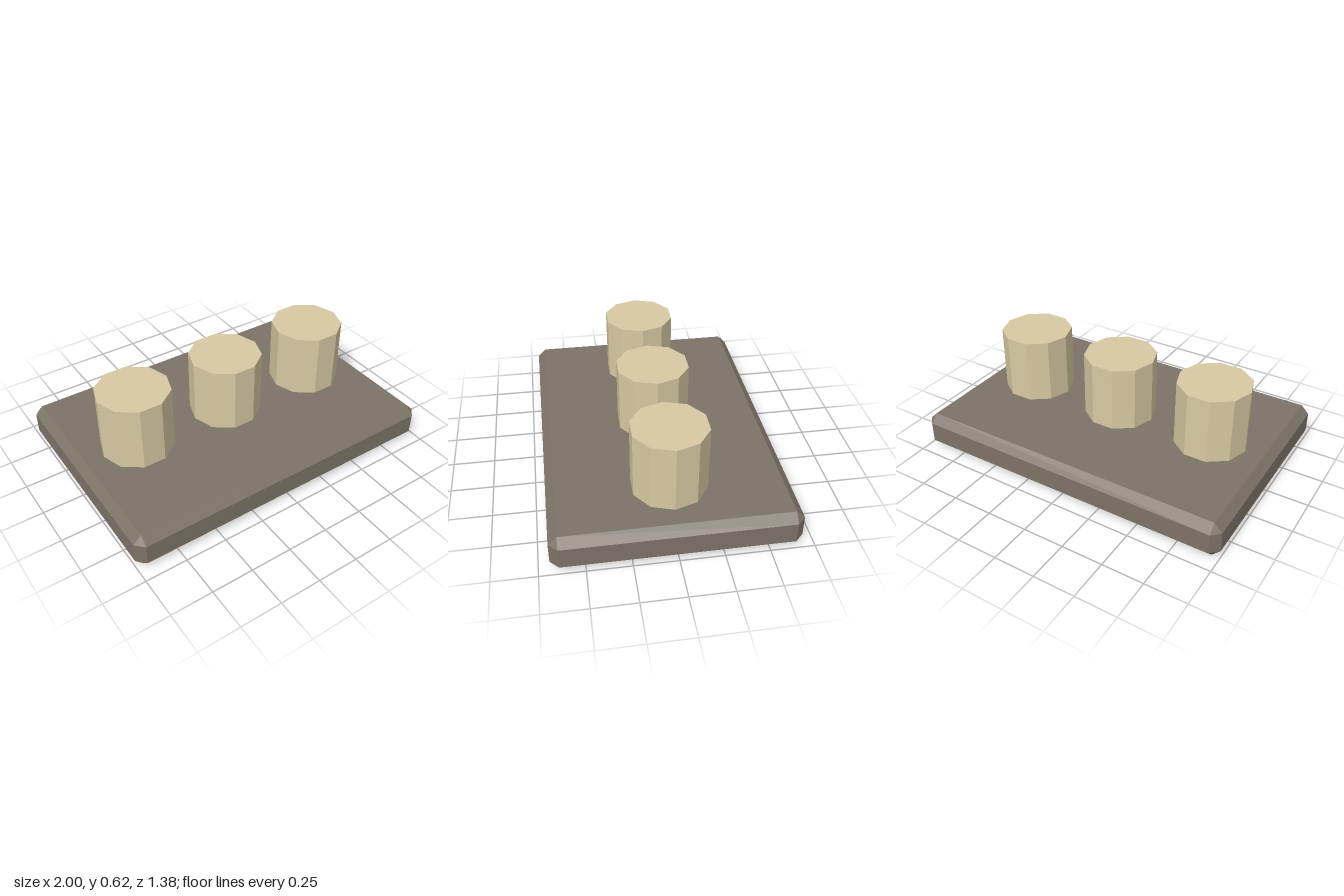
import * as THREE from 'three';
import { ConvexGeometry } from 'three/addons/geometries/ConvexGeometry.js';

// Box with every edge and corner cut by the same chamfer
function chamferedBox(w, h, d, c) {
  const x = w / 2, y = h / 2, z = d / 2, points = [];
  for (const sx of [-1, 1]) for (const sy of [-1, 1]) for (const sz of [-1, 1]) {
    points.push(
      new THREE.Vector3(sx * x, sy * (y - c), sz * (z - c)),
      new THREE.Vector3(sx * (x - c), sy * y, sz * (z - c)),
      new THREE.Vector3(sx * (x - c), sy * (y - c), sz * z)
    );
  }
  return new ConvexGeometry(points);
}

export function createModel() {
  const model = new THREE.Group();
  model.name = 'peggedSlab';

  const stone = new THREE.MeshStandardMaterial({ color: 0x7d7367, flatShading: true });
  stone.name = 'darkStone';
  const cream = new THREE.MeshStandardMaterial({ color: 0xd8c9a2, flatShading: true });
  cream.name = 'paleCream';

  // Chamfered base slab
  const baseHeight = 0.222;
  const base = new THREE.Mesh(chamferedBox(2, baseHeight, 1.376, 0.049), stone);
  base.name = 'baseSlab';
  base.position.y = baseHeight / 2;
  model.add(base);

  // Row of three ten-sided pegs, corners pointing along x
  const pegHeight = 0.4;
  const pegGeometry = new THREE.CylinderGeometry(0.22, 0.22, pegHeight, 10, 1, false, Math.PI / 2);
  ['rightPeg', 'middlePeg', 'leftPeg'].forEach((name, i) => {
    const peg = new THREE.Mesh(pegGeometry, cream);
    peg.name = name;
    peg.position.set((i - 1) * 0.622, baseHeight + pegHeight / 2, 0);
    model.add(peg);
  });

  return model;
}
